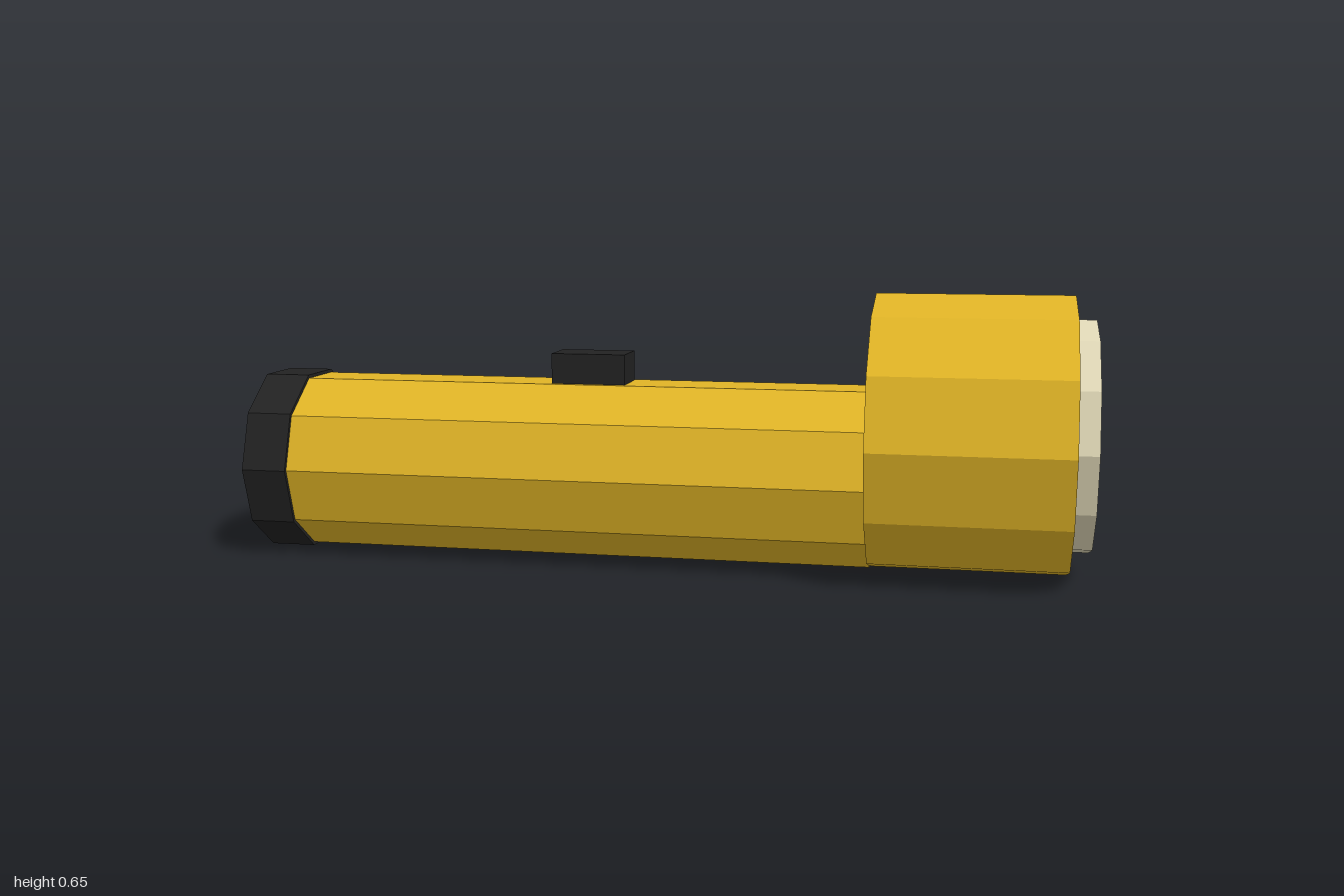
import * as THREE from 'three';

export function createModel() {
  const group = new THREE.Group();
  const material = (name, color) => {
    const m = new THREE.MeshStandardMaterial({ color, flatShading: true });
    m.name = name;
    return m;
  };
  const yellow = material('yellow', 0xe0b426);
  const black = material('black', 0x222222);
  const cream = material('cream', 0xe0d8b7);

  const add = (name, geometry, mat, x, y) => {
    const mesh = new THREE.Mesh(geometry, mat);
    mesh.name = name;
    mesh.position.set(x, y, 0);
    group.add(mesh);
  };

  // Faceted cylinder lying along x, from x0 to x1
  const barrel = (name, radius, sides, x0, x1, y, mat) => {
    const geometry = new THREE.CylinderGeometry(radius, radius, x1 - x0, sides);
    geometry.rotateZ(-Math.PI / 2);
    add(name, geometry, mat, (x0 + x1) / 2, y);
  };

  // Handle and tail cap: ten sides with a flat on top
  barrel('handle', 0.218, 10, -0.89, 0.5, 0.22, yellow);
  barrel('tailCap', 0.2265, 10, -1, -0.89, 0.22, black);

  // Head and lens: twelve sides with a ridge on top
  barrel('head', 0.326, 12, 0.5, 0.952, 0.326, yellow);
  barrel('lens', 0.271, 12, 0.952, 1, 0.326, cream);

  // Sliding switch on top of the handle
  add('switch', new THREE.BoxGeometry(0.18, 0.09, 0.108), black, -0.18, 0.455);

  return group;
}
